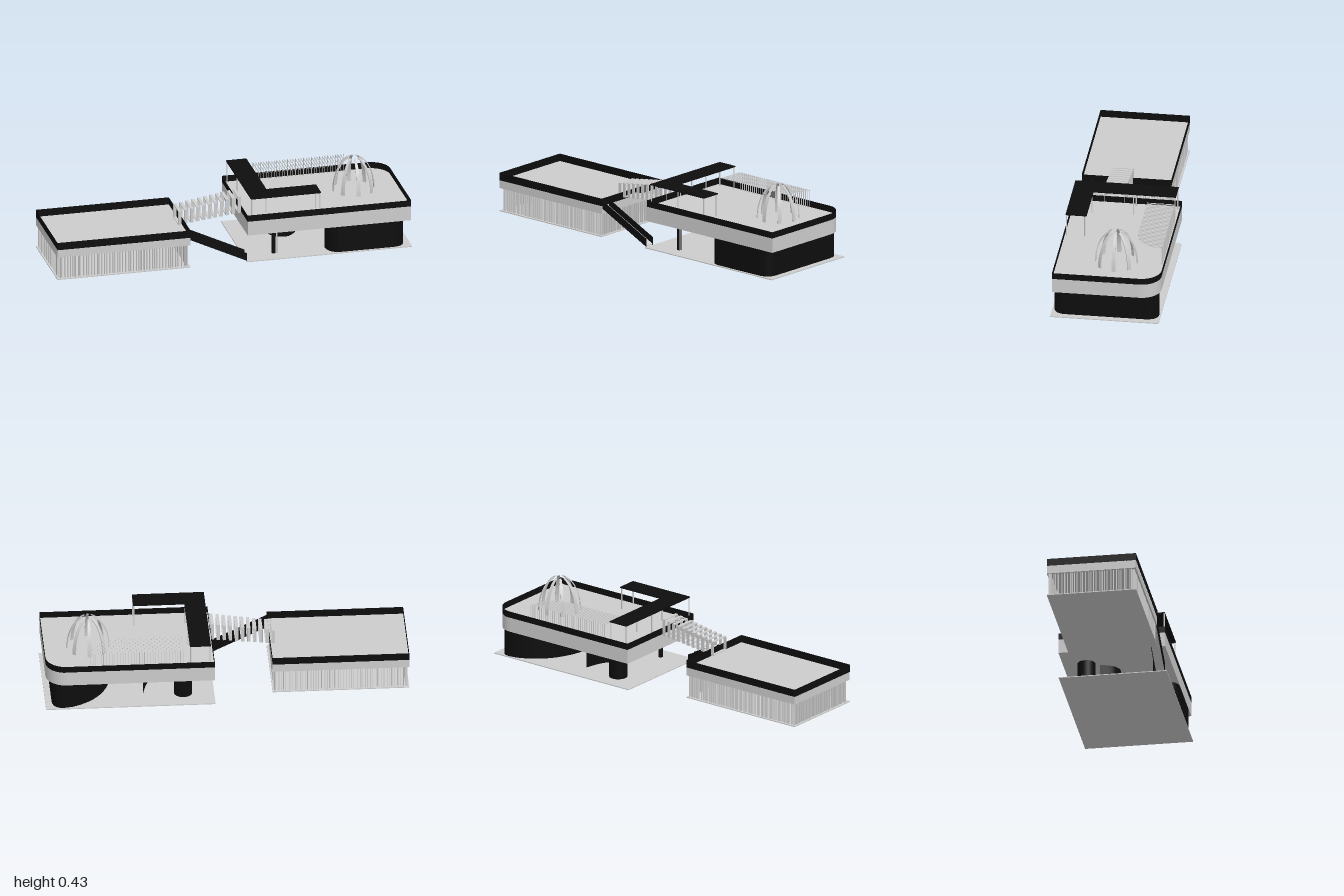
import * as THREE from 'three';
import { mergeGeometries, toCreasedNormals } from 'three/addons/utils/BufferGeometryUtils.js';

const grey = new THREE.MeshStandardMaterial({ color: 0xcccccc, side: THREE.DoubleSide });
grey.name = 'concrete grey';
const black = new THREE.MeshStandardMaterial({ color: 0x0d0d0d, side: THREE.DoubleSide });
black.name = 'black';

// box given by its limits
function box(x0, x1, y0, y1, z0, z1) {
  return new THREE.BoxGeometry(x1 - x0, y1 - y0, z1 - z0)
    .translate((x0 + x1) / 2, (y0 + y1) / 2, (z0 + z1) / 2);
}

// plan outline (drawn in x, -z) raised from y0 to y1
function prism(shape, y0, y1) {
  const g = new THREE.ExtrudeGeometry(shape, { depth: y1 - y0, bevelEnabled: false, curveSegments: 16 });
  return toCreasedNormals(g.rotateX(-Math.PI / 2).translate(0, y0, 0), 0.6);
}

// thin upright sheet following plan points (x, -z)
function sheet(points, y0, y1) {
  const pos = [], idx = [];
  points.forEach((p, i) => {
    pos.push(p.x, y0, -p.y, p.x, y1, -p.y);
    if (i) idx.push(2 * i - 2, 2 * i, 2 * i - 1, 2 * i, 2 * i + 1, 2 * i - 1);
  });
  const g = new THREE.BufferGeometry();
  g.setAttribute('position', new THREE.Float32BufferAttribute(pos, 3));
  g.setIndex(idx);
  return toCreasedNormals(g, 0.6);
}

// plan rectangle with an optional rounded back right corner
function plan(x0, x1, zBack, zFront, r) {
  const s = new THREE.Shape();
  s.moveTo(x0, -zFront);
  s.lineTo(x1, -zFront);
  s.lineTo(x1, -zBack - r);
  if (r) s.absarc(x1 - r, -zBack - r, r, 0, Math.PI / 2, false);
  s.lineTo(x0, -zBack);
  s.closePath();
  return s;
}

export function createModel() {
  const root = new THREE.Group();
  const add = (name, geo, mat) => {
    const m = new THREE.Mesh(geo, mat);
    m.name = name;
    root.add(m);
  };

  // left pavilion
  add('leftFloor', box(-1, -0.25, 0, 0.005, -0.195, 0.3), grey);
  add('leftRoof', box(-1, -0.25, 0.131, 0.177, -0.195, 0.298), grey);
  add('leftParapet', sheet(plan(-1, -0.25, -0.195, 0.299, 0).getPoints(), 0.176, 0.219), black);
  const fins = [];
  let seed = 7;
  const jitter = () => ((seed = (seed * 16807) % 2147483647) / 2147483647 - 0.5) * 0.009;
  for (let i = 0; i <= 48; i++) {
    for (const z of [-0.18, 0.284]) {
      const x = -0.983 + i * 0.0149 + jitter();
      fins.push(box(x - 0.002, x + 0.002, 0.005, 0.131, z - 0.006, z + 0.006));
    }
  }
  for (let i = 0; i <= 30; i++) {
    for (const x of [-0.985, -0.265]) {
      const z = -0.175 + i * 0.015 + jitter();
      fins.push(box(x - 0.006, x + 0.006, 0.005, 0.131, z - 0.002, z + 0.002));
    }
  }
  add('facadeFins', mergeGeometries(fins), grey);

  // right building: slab, thick floor band and parapet
  const upper = plan(0.075, 0.997, -0.3, 0.291, 0.11);
  add('rightFloor', box(0.07, 1, 0, 0.005, -0.298, 0.301), grey);
  add('rightBand', prism(upper, 0.154, 0.236), grey);
  add('rightParapet', sheet(upper.getPoints(16), 0.235, 0.272), black);

  // ground floor hall with a curved inner side
  const hall = new THREE.Shape();
  hall.moveTo(0.61, -0.29);
  hall.lineTo(0.89, -0.29);
  hall.quadraticCurveTo(0.965, -0.29, 0.965, -0.22);
  hall.lineTo(0.965, 0.21);
  hall.quadraticCurveTo(0.965, 0.29, 0.9, 0.29);
  hall.lineTo(0.85, 0.28);
  hall.quadraticCurveTo(0.64, 0.2, 0.62, -0.08);
  hall.lineTo(0.53, -0.2);
  hall.quadraticCurveTo(0.53, -0.29, 0.61, -0.29);
  add('groundHall', prism(hall, 0.005, 0.155), black);

  // curved screen, drum and columns beside the hall
  const curve = new THREE.SplineCurve([[0.26, 0.1], [0.3, 0.02], [0.37, 0], [0.43, 0.06], [0.46, 0.17]]
    .map(([x, y]) => new THREE.Vector2(x, y)));
  add('curvedScreen', sheet(curve.getPoints(30), 0.005, 0.155), black);
  const column = (x, z, r, y0, y1) =>
    new THREE.CylinderGeometry(r, r, y1 - y0, r > 0.02 ? 32 : 12).translate(x, (y0 + y1) / 2, z);
  add('drum', column(0.24, -0.17, 0.05, 0.005, 0.155), black);
  add('groundColumn', column(0.24, 0.21, 0.012, 0.005, 0.155), black);
  add('slimColumn', column(0.255, 0.22, 0.004, 0.005, 0.155), grey);

  // L-shaped roof canopy on slim posts
  add('canopy', mergeGeometries([
    box(0.095, 0.21, 0.362, 0.368, -0.285, 0.286),
    box(0.21, 0.49, 0.362, 0.368, 0.17, 0.286),
  ]), black);
  const posts = [[0.1, 0.282], [0.205, 0.18], [0.485, 0.282], [0.485, 0.18], [0.1, -0.05],
    [0.205, -0.05], [0.1, -0.28], [0.205, -0.28]];
  add('canopyPosts', mergeGeometries(posts.map(([x, z]) => column(x, z, 0.0035, 0.236, 0.362))), grey);

  // pergola slats, shortening along a curve at one end
  const slats = [];
  for (let i = 0; i <= 34; i++) {
    const x = 0.247 + i * 0.015;
    const t = Math.max(0, (x - 0.6) / 0.157);
    const zEnd = -0.275 + 0.145 * Math.sqrt(Math.max(0, 1 - t * t));
    slats.push(box(x - 0.0012, x + 0.0012, 0.336, 0.34, -0.286, zEnd));
    slats.push(box(x - 0.0012, x + 0.0012, 0.236, 0.337, -0.286, -0.282));
  }
  add('pergola', mergeGeometries(slats), grey);

  // ring of curved tapering ribs
  const rib = new THREE.BoxGeometry(1, 1, 1, 1, 18, 1);
  const p = rib.attributes.position;
  for (let i = 0; i < p.count; i++) {
    const t = p.getY(i) + 0.5, a = t * 1.31, d = p.getX(i) * 0.005;
    p.setXYZ(i, (0.115 + d) * Math.cos(a), 0.235 + (0.196 + d) * Math.sin(a),
      p.getZ(i) * (0.024 - 0.012 * t));
  }
  const ribGeo = toCreasedNormals(rib, 0.6);
  const ring = new THREE.Group();
  ring.name = 'ribCrown';
  ring.position.set(0.752, 0, -0.031);
  for (let i = 0; i < 8; i++) {
    const m = new THREE.Mesh(ribGeo, grey);
    m.name = 'crownRib';
    m.rotation.y = i * Math.PI / 4;
    ring.add(m);
  }
  root.add(ring);

  // bridge of open frames climbing between the roofs
  const frames = [];
  for (let i = 0; i < 11; i++) {
    const x = -0.268 + i * 0.0335, y = 0.268 + i * 0.0053, h = 0.08 + i * 0.0015;
    const x0 = x - 0.009, x1 = x + 0.009;
    frames.push(box(x0, x1, y - 0.004, y, 0.014, 0.132));
    for (const z of [0.014, 0.128]) frames.push(box(x0, x1, y - h, y, z, z + 0.004));
    frames.push(box(x0, x1, y - h, y - h + 0.004, 0.014, 0.132));
  }
  add('bridgeFrames', mergeGeometries(frames), grey);

  // sloping ramp with black side walls
  const slope = (bottom, height, z0, z1) => {
    const s = new THREE.Shape();
    s.moveTo(-0.252, 0.16 + bottom);
    s.lineTo(0.07, 0.005 + bottom);
    s.lineTo(0.07, 0.005 + bottom + height);
    s.lineTo(-0.252, 0.16 + bottom + height);
    return new THREE.ExtrudeGeometry(s, { depth: z1 - z0, bevelEnabled: false }).translate(0, 0, z0);
  };
  add('rampDeck', slope(0.003, 0.005, 0.24, 0.288), grey);
  add('rampWalls', mergeGeometries([slope(0, 0.045, 0.237, 0.24), slope(0, 0.045, 0.288, 0.291)]), black);
  return root;
}
